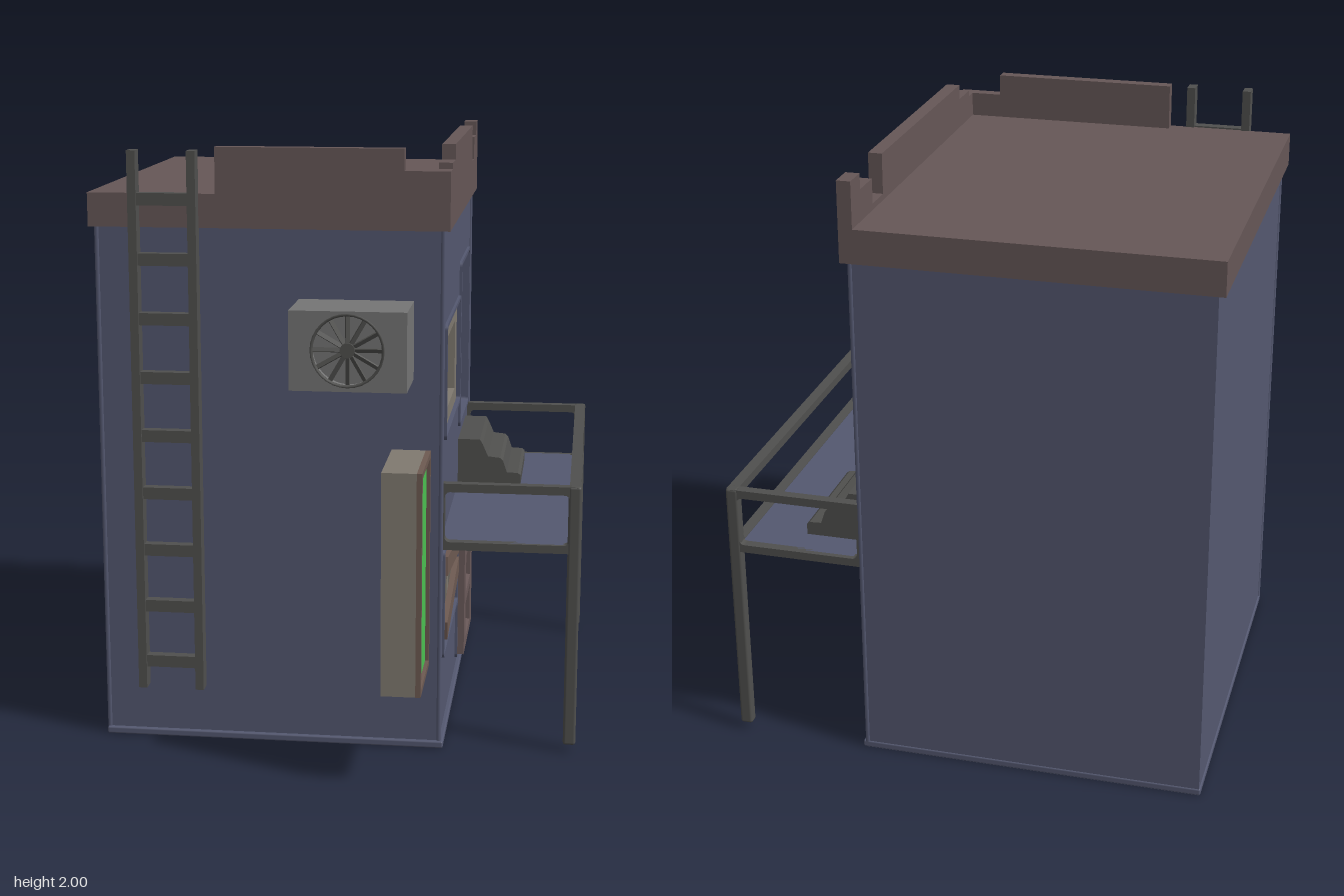
import * as THREE from 'three';
import { RoundedBoxGeometry } from 'three/addons/geometries/RoundedBoxGeometry.js';

const mat = (color) => new THREE.MeshStandardMaterial({ color, roughness: 0.9 });
const WALL = mat(0x545870), BROWN = mat(0x6b5a5a), ROOF = mat(0x665757), KHAKI = mat(0x807a70);
const GLASS = mat(0xcaccaa), METAL = mat(0x50504e), GREY = mat(0x757575), GREEN = mat(0x4cc252), PLANK = mat(0x6e5a52);

export function createModel() {
  const model = new THREE.Group();
  model.name = 'building';

  const add = (name, geometry, material, parent = model) => {
    const mesh = new THREE.Mesh(geometry, material);
    mesh.name = name;
    parent.add(mesh);
    return mesh;
  };
  const group = (name) => {
    const g = new THREE.Group();
    g.name = name;
    model.add(g);
    return g;
  };
  // Box given by its minimum and maximum corners, optionally rounded
  const box = (name, material, [x0, y0, z0], [x1, y1, z1], parent, radius = 0) => {
    const size = [x1 - x0, y1 - y0, z1 - z0];
    const g = radius ? new RoundedBoxGeometry(...size, 2, radius) : new THREE.BoxGeometry(...size);
    g.translate((x0 + x1) / 2, (y0 + y1) / 2, (z0 + z1) / 2);
    return add(name, g, material, parent);
  };
  // Rectangle outline [u0, v0, u1, v1] with optional corner radius
  const rect = ([a, b, c, d], r = 0) => {
    const s = new THREE.Shape();
    if (!r) return s.moveTo(a, b).lineTo(c, b).lineTo(c, d).lineTo(a, d).closePath();
    s.absarc(c - r, b + r, r, -Math.PI / 2, 0);
    s.absarc(c - r, d - r, r, 0, Math.PI / 2);
    s.absarc(a + r, d - r, r, Math.PI / 2, Math.PI);
    s.absarc(a + r, b + r, r, Math.PI, Math.PI * 1.5);
    return s.closePath();
  };
  const poly = (pts) => new THREE.Shape(pts.map((p) => new THREE.Vector2(...p)));
  // Extruded plates: facing +z between z0 and z1, or facing +x between x0 and x1 (there u = -z)
  const plateZ = (name, material, shape, holes, z0, z1, parent) => {
    shape.holes = holes;
    const g = new THREE.ExtrudeGeometry(shape, { depth: z1 - z0, bevelEnabled: false, curveSegments: 6 });
    return add(name, g.translate(0, 0, z0), material, parent);
  };
  const plateX = (name, material, shape, holes, x0, x1, parent) => {
    shape.holes = holes;
    const g = new THREE.ExtrudeGeometry(shape, { depth: x1 - x0, bevelEnabled: false, curveSegments: 6 });
    return add(name, g.rotateY(Math.PI / 2).translate(x0, 0, 0), material, parent);
  };
  const grow = ([a, b, c, d], e) => [a - e, b - e, c + e, d + e];

  // Walls, with real openings in the right-hand facade
  const upperWindow = [-0.36, 1.045, 0.25, 1.41];
  const lowerWindow = [-0.37, 0.29, 0.24, 0.645];
  const doorway = [0.3, 0.945, 0.705, 1.525];
  const door = [0.265, 0.07, 0.68, 0.65];
  const X = 0.345;
  box('rearWalls', WALL, [-0.785, 0, -0.835], [-0.155, 1.75, 0.48]);
  plateX('facade', WALL, rect([-0.48, 0, 0.835, 1.75]),
    [rect(upperWindow, 0.01), rect(lowerWindow, 0.01), rect(doorway, 0.015)], -0.155, X);
  box('baseTrim', WALL, [-0.79, 0, -0.838], [0.36, 0.024, 0.493], model, 0.006);
  for (const [x, z] of [[X, 0.478], [X, -0.832], [-0.783, 0.478]]) {
    const bead = add('cornerTrim', new THREE.CylinderGeometry(0.008, 0.008, 1.72, 8), WALL);
    bead.position.set(x, 0.88, z);
  }
  // Raised trim around each opening
  for (const r of [upperWindow, lowerWindow, doorway, door]) {
    plateX('openingTrim', WALL, rect(grow(r, 0.013), 0.02), [rect(r, 0.012)], X - 0.01, X + 0.009);
  }

  // Windows
  const upper = group('upperWindow');
  const upperGlass = [-0.28, 1.1, 0.17, 1.345];
  plateX('windowFrame', KHAKI, rect(upperWindow), [rect(upperGlass)], 0.28, X - 0.006, upper);
  box('windowGlass', GLASS, [0.27, 1.09, -0.18], [0.3, 1.355, 0.29], upper);

  const lower = group('lowerWindow');
  plateX('windowFrame', KHAKI, rect(lowerWindow),
    [rect([-0.29, 0.34, -0.1, 0.585]), rect([-0.04, 0.34, 0.16, 0.585])], 0.28, X - 0.006, lower);
  box('windowGlass', GLASS, [0.27, 0.33, -0.17], [0.3, 0.595, 0.3], lower);
  for (const [y, tilt] of [[0.552, -0.137], [0.398, 0.137]]) {
    const plank = add('boardedPlank', new THREE.BoxGeometry(0.02, 0.064, 0.545), PLANK, lower);
    plank.position.set(0.35, y, 0.063);
    plank.rotation.x = tilt;
  }

  // Front door with three sunken panels
  const doorGroup = group('door');
  const panels = [0.105, 0.285, 0.46].map((y) => rect([0.35, y, 0.585, y + 0.14]));
  plateX('doorLeaf', BROWN, rect(door), panels, 0.355, 0.378, doorGroup);
  box('doorBack', BROWN, [0.335, 0.07, -0.68], [0.362, 0.65, -0.265], doorGroup);

  // Roof slab and broken parapet
  box('roofSlab', ROOF, [-0.81, 1.74, -0.865], [0.367, 1.85, 0.485]);
  plateZ('frontParapet', ROOF, poly([[-0.39, 1.845], [0.367, 1.845], [0.367, 1.93], [0.22, 1.93], [0.22, 2], [-0.39, 2]]),
    [], 0.445, 0.485);
  plateX('sideParapet', ROOF, poly([[-0.445, 1.845], [0.865, 1.845], [0.865, 2], [0.78, 2], [0.78, 1.95], [0.67, 1.95],
    [0.67, 1.87], [0.57, 1.87], [0.57, 2], [-0.28, 2], [-0.28, 1.95], [-0.4, 1.95], [-0.4, 1.93], [-0.445, 1.93]]),
    [], 0.322, 0.367);

  // Balcony: floor, railing frames and legs
  const balcony = group('balcony');
  box('balconyFloor', WALL, [X, 0.69, -0.82], [0.78, 0.715, 0.46], balcony);
  for (const [z0, z1] of [[-0.84, -0.803], [0.438, 0.475]]) {
    plateZ('sideRailing', METAL, rect([X, 0.688, 0.795, 0.913], 0.008), [rect([0.357, 0.715, 0.765, 0.885], 0.018)],
      z0 + 0.002, z1 - 0.002, balcony);
    box('balconyLeg', METAL, [0.76, 0.025, z0], [0.802, 0.915, z1], balcony, 0.009);
  }
  plateX('outerRailing', METAL, rect([-0.47, 0.685, 0.835, 0.914], 0.008), [rect([-0.437, 0.717, 0.802, 0.885], 0.018)],
    0.763, 0.8, balcony);

  // Steps up to the doorway
  plateZ('balconySteps', METAL, poly([[X, 0.714], [0.575, 0.714], [0.575, 0.752], [0.565, 0.76], [0.525, 0.762],
    [0.51, 0.805], [0.5, 0.815], [0.455, 0.82], [0.435, 0.865], [0.425, 0.882], [X, 0.882]]), [], -0.71, -0.31, balcony);

  // Ladder
  const ladder = group('ladder');
  for (const x of [-0.667, -0.473]) box('ladderRail', METAL, [x, 0.185, 0.48], [x + 0.028, 1.99, 0.53], ladder);
  for (let i = 0; i < 9; i++) {
    const y = 0.278 + i * 0.1945;
    box('ladderRung', METAL, [-0.64, y - 0.02, 0.488], [-0.47, y + 0.02, 0.522], ladder);
  }

  // Air conditioner with a sunken fan
  const cooler = group('airConditioner');
  const fanHole = new THREE.Path().absarc(0.065, 1.39, 0.115, 0, Math.PI * 2);
  const coolerFront = plateZ('coolerFront', GREY, rect([-0.12, 1.26, 0.253, 1.515]), [], 0.47, 0.66, cooler);
  coolerFront.name = 'coolerBody';
  const frontShape = rect([-0.12, 1.26, 0.253, 1.515]);
  frontShape.holes = [fanHole];
  add('coolerFront', new THREE.ExtrudeGeometry(frontShape, { depth: 0.05, bevelEnabled: false, curveSegments: 24 })
    .translate(0, 0, 0.66), GREY, cooler);
  const fan = new THREE.Group();
  fan.name = 'fan';
  fan.position.set(0.065, 1.39, 0.7);
  cooler.add(fan);
  add('fanRing', new THREE.TorusGeometry(0.115, 0.006, 6, 32), METAL, fan).position.z = 0.005;
  add('fanHub', new THREE.CylinderGeometry(0.024, 0.024, 0.03, 16).rotateX(Math.PI / 2), METAL, fan).position.z = -0.01;
  for (let i = 0; i < 12; i++) {
    const blade = new THREE.BoxGeometry(0.1, 0.014, 0.006).rotateX(0.5).translate(0.065, 0, -0.008);
    add('fanBlade', blade.rotateZ((i * Math.PI) / 6), METAL, fan);
  }

  // Projecting sign box with a bright panel, on two wall brackets
  const sign = group('sign');
  const face = [-0.865, 0.317, -0.552, 1.042];
  box('signBox', KHAKI, [0.19, 0.317, 0.552], [0.3, 1.042, 0.865], sign);
  plateX('signRim', PLANK, rect(face), [rect(grow(face, -0.02))], 0.3, 0.317, sign);
  box('signPanel', GREEN, [0.295, 0.33, 0.565], [0.305, 1.03, 0.852], sign);
  for (const y of [0.58, 0.83]) {
    const bracket = add('signBracket', new THREE.CylinderGeometry(0.025, 0.025, 0.09, 16).rotateX(Math.PI / 2), KHAKI, sign);
    bracket.position.set(0.25, y, 0.515);
  }

  return model;
}
